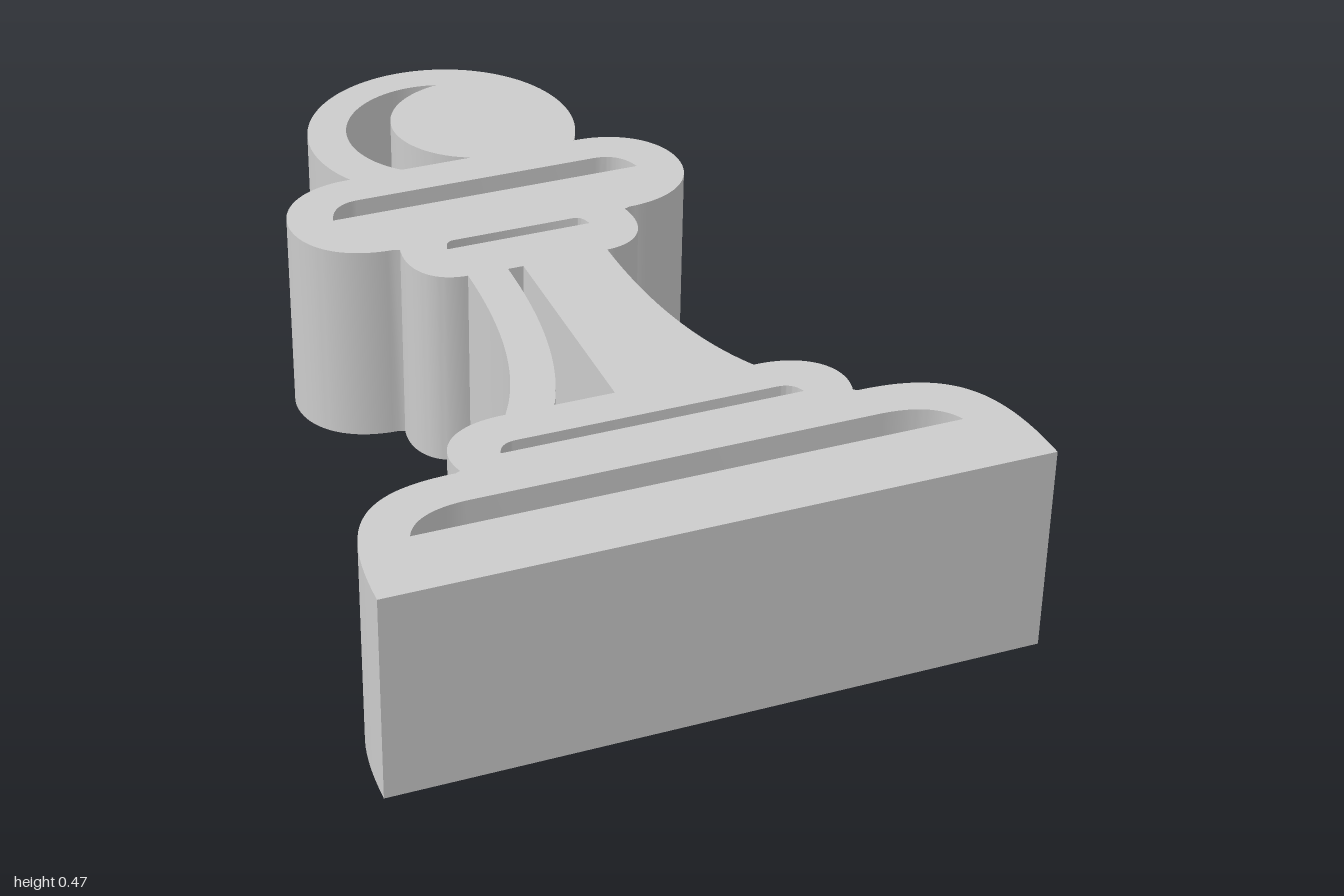
import * as THREE from 'three';
import { toCreasedNormals } from 'three/addons/utils/BufferGeometryUtils.js';

const HEIGHT = 0.47;

// Half outline in plan (x, z), from the base edge up to the top of the head
function outline() {
  const p = new THREE.Path();
  p.moveTo(0.70, 1);
  p.bezierCurveTo(0.70, 0.75, 0.63, 0.658, 0.43, 0.66); // base shoulder
  p.lineTo(0.42, 0.655);
  p.bezierCurveTo(0.447, 0.57, 0.39, 0.495, 0.27, 0.498); // lower ring
  p.bezierCurveTo(0.20, 0.38, 0.16, 0.20, 0.16, -0.043); // stem
  p.bezierCurveTo(0.24, -0.045, 0.28, -0.11, 0.262, -0.198); // small collar
  p.lineTo(0.275, -0.203);
  p.bezierCurveTo(0.395, -0.205, 0.461, -0.28, 0.461, -0.37); // wide collar
  p.bezierCurveTo(0.461, -0.46, 0.39, -0.54, 0.269, -0.537);
  const a = Math.asin(0.153 / 0.31); // head
  p.absarc(0, -0.69, 0.31, a, -Math.PI / 2, true);

  const half = p.getPoints(24);
  const mirrored = half.slice(0, -1).reverse().map((v) => new THREE.Vector2(-v.x, v.y));
  // Counter-clockwise, so that the walls of the holes are turned to match
  return new THREE.Shape([...half, ...mirrored].reverse());
}

// Slot with a flat lower edge and rounded upper corners
function slot(wBottom, wTop, zTop, zBottom) {
  const bend = wBottom - (wBottom - wTop) * 0.2;
  const h = new THREE.Path();
  h.moveTo(-wBottom, zBottom);
  h.lineTo(wBottom, zBottom);
  h.quadraticCurveTo(bend, zTop, wTop, zTop);
  h.lineTo(-wTop, zTop);
  h.quadraticCurveTo(-bend, zTop, -wBottom, zBottom);
  return h;
}

// Crescent cut in the head
function crescent() {
  const h = new THREE.Path();
  h.moveTo(0.02, -0.541);
  h.bezierCurveTo(-0.06, -0.575, -0.105, -0.65, -0.105, -0.72);
  h.bezierCurveTo(-0.105, -0.81, -0.04, -0.89, 0.06, -0.91);
  h.absarc(0, -0.702, 0.217, Math.atan2(-0.208, 0.06), Math.atan2(0.161, -0.145) - 2 * Math.PI, true);
  h.closePath();
  return h;
}

// Tapering cut in the stem
function stemCut() {
  const h = new THREE.Path();
  h.moveTo(-0.07, -0.04);
  h.lineTo(-0.035, -0.04);
  h.lineTo(-0.035, 0.498);
  h.lineTo(-0.165, 0.498);
  h.bezierCurveTo(-0.10, 0.36, -0.07, 0.18, -0.07, -0.04);
  return h;
}

export function createModel() {
  const shape = outline();
  shape.holes.push(
    crescent(),
    slot(0.36, 0.28, -0.441, -0.372),
    slot(0.165, 0.14, -0.198, -0.165),
    stemCut(),
    slot(0.325, 0.28, 0.591, 0.625),
    slot(0.58, 0.43, 0.755, 0.83),
  );

  // Extrude the plan and lay it flat on the ground
  let geometry = new THREE.ExtrudeGeometry(shape, { depth: HEIGHT, bevelEnabled: false, curveSegments: 24 });
  geometry.rotateX(Math.PI / 2).translate(0, HEIGHT, 0);
  geometry = toCreasedNormals(geometry, 0.5);

  const body = new THREE.Mesh(geometry, new THREE.MeshStandardMaterial({ color: 0xcccccc }));
  body.name = 'pawnCutout';
  const group = new THREE.Group();
  group.name = 'chessPawn';
  group.add(body);
  return group;
}
